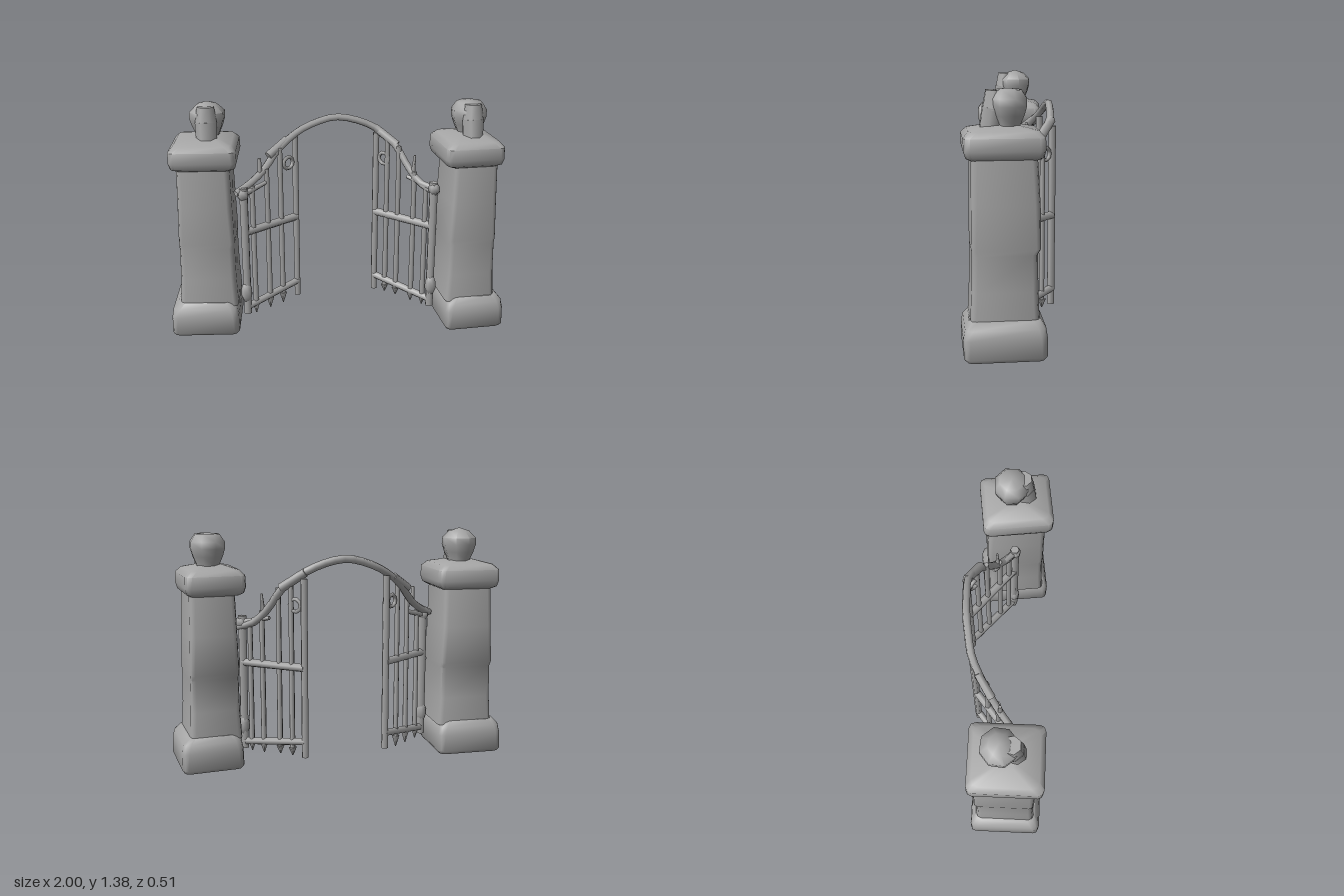
import * as THREE from 'three';
import { toCreasedNormals } from 'three/addons/utils/BufferGeometryUtils.js';

const stone = new THREE.MeshStandardMaterial({ color: 0xa6a6a6, side: THREE.DoubleSide });
stone.name = 'plain grey';

const V = (x, y, z) => new THREE.Vector3(x, y, z);

function add(group, geometry, name) {
  const mesh = new THREE.Mesh(geometry, stone);
  mesh.name = name;
  group.add(mesh);
  return mesh;
}

// Skin over stacked rounded rectangles: [y, x0, x1, z0, z1, cornerRadius]
function loft(sections) {
  const pos = [], index = [], n = 12;
  for (const [y, x0, x1, z0, z1, r] of sections) {
    for (let c = 0; c < 4; c++) {
      const cx = c === 0 || c === 3 ? x1 - r : x0 + r;
      const cz = c < 2 ? z1 - r : z0 + r;
      for (let k = 0; k < 3; k++) {
        const a = (c + k / 2) * Math.PI / 2;
        pos.push(cx + r * Math.cos(a), y, cz + r * Math.sin(a));
      }
    }
  }
  for (let s = 0; s < sections.length - 1; s++) {
    for (let i = 0; i < n; i++) {
      const a = s * n + i, b = s * n + (i + 1) % n;
      index.push(a, a + n, b, b, a + n, b + n);
    }
  }
  // Close both ends
  const last = (sections.length - 1) * n;
  for (let i = 1; i < n - 1; i++) {
    index.push(0, i, i + 1, last, last + i + 1, last + i);
  }
  const g = new THREE.BufferGeometry();
  g.setAttribute('position', new THREE.Float32BufferAttribute(pos, 3));
  g.setIndex(index);
  return toCreasedNormals(g, 0.9);
}

// Round bar between two points
function bar(group, a, b, r0, r1, name, sides = 6) {
  const d = b.clone().sub(a);
  const g = new THREE.CylinderGeometry(r1, r0, d.length(), sides);
  const mesh = add(group, g, name);
  mesh.position.copy(a).addScaledVector(d, 0.5);
  mesh.quaternion.setFromUnitVectors(V(0, 1, 0), d.normalize());
  return mesh;
}

// Pillar of half width w; the shaft and cap sit closer to the opening (side = -1 or 1) than the plinth
function pillar(name, side, w, capShift) {
  const g = new THREE.Group();
  g.name = name;
  // Plinth with a small hollow underneath
  add(g, loft([
    [0.07, -0.05, 0.05, -0.05, 0.05, 0.01],
    [0.03, -0.07, 0.07, -0.07, 0.07, 0.01],
    [0.01, -w + 0.012, w - 0.012, -0.2, 0.2, 0.03],
    [0.03, -w, w, -0.212, 0.215, 0.03],
    [0.13, -w + 0.002, w - 0.002, -0.212, 0.218, 0.035],
    [0.18, -w + 0.01, w - 0.01, -0.205, 0.208, 0.04],
    [0.215, -w + 0.04, w - 0.04, -0.18, 0.185, 0.04],
  ]), 'plinth');
  // Shaft, with the upper half of the back standing slightly proud
  const s = w - 0.04;
  const shaft = add(g, loft([
    [0.19, -s - 0.012, s + 0.012, -0.177, 0.18, 0.03],
    [0.36, -s - 0.003, s + 0.003, -0.17, 0.172, 0.03],
    [0.55, -s, s, -0.167, 0.168, 0.03],
    [0.58, -s - 0.002, s + 0.002, -0.182, 0.17, 0.025],
    [0.8, -s + 0.004, s - 0.004, -0.18, 0.17, 0.03],
    [1.05, -s + 0.01, s - 0.01, -0.165, 0.168, 0.03],
  ]), 'shaft');
  shaft.position.x = -side * 0.027;
  // Cap stone
  const c = w - 0.008;
  const cap = add(g, loft([
    [1.03, -c + 0.035, c - 0.035, -0.17, 0.17, 0.03],
    [1.045, -c + 0.01, c - 0.01, -0.195, 0.195, 0.03],
    [1.08, -c, c, -0.203, 0.205, 0.03],
    [1.145, -c + 0.002, c - 0.002, -0.203, 0.208, 0.035],
    [1.175, -c + 0.03, c - 0.03, -0.175, 0.18, 0.04],
    [1.2, -0.06, 0.06, -0.06, 0.06, 0.02],
  ]), 'capStone');
  cap.position.x = -side * capShift;
  return g;
}

// Lumpy ball with a broad spur running down its front
function finial(name, flat) {
  const g = new THREE.Group();
  g.name = name;
  const profile = [[0.066, 1.17], [0.07, 1.2], [0.09, 1.245], [0.104, 1.29], [0.104, 1.33],
    [flat ? 0.075 : 0.06, 1.372], [0, flat ? 1.38 : 1.39]];
  const ball = new THREE.LatheGeometry(profile.map(([r, y]) => new THREE.Vector2(r, y)), 8, 0.3);
  add(g, toCreasedNormals(ball, 1), 'ball');
  bar(g, V(0, 1.37, 0.065), V(0, 1.27, 0.07), 0.05, 0.065, 'spurTop', 7);
  bar(g, V(0, 1.28, 0.07), V(0, 1.165, 0.09), 0.065, 0.06, 'spurFoot', 7);
  return g;
}

// Gate leaf: hinge and latch are [x, z]; bars are [t, bottom, top], t running from hinge to latch
function gateLeaf(name, hinge, latch, bars, latchTop) {
  const g = new THREE.Group();
  g.name = name;
  const at = (t, y) => V(
    hinge[0] + (latch[0] - hinge[0]) * t, y, hinge[1] + (latch[1] - hinge[1]) * t);
  bar(g, at(0, 0.08), at(0, 0.89), 0.025, 0.027, 'hingePost');
  bar(g, at(1, 0.08), at(1, latchTop), 0.021, 0.021, 'latchPost');
  bar(g, at(0, 0.61), at(1, 0.615), 0.025, 0.025, 'middleRail');
  bar(g, at(0, 0.12), at(1, 0.175), 0.023, 0.023, 'bottomRail');
  bar(g, at(0, 0.85), at(0.45, 0.89), 0.02, 0.012, 'topBrace');
  for (const [t, bottom, top] of bars) {
    bar(g, at(t, 0.12), at(t, top), 0.017, 0.016, 'upright', 5);
    bar(g, at(t, bottom), at(t, 0.13), 0.003, 0.024, 'spearTip', 4);
  }
  // Ring below the arch
  const ring = add(g, new THREE.TorusGeometry(0.036, 0.012, 5, 10), 'ring');
  ring.position.copy(at(0.86, 0.975));
  ring.rotation.y = -Math.atan2(latch[1] - hinge[1], latch[0] - hinge[0]);
  // Hinge knuckles
  for (const [y, s] of [[0.22, 0.07], [0.85, 0.04]]) {
    const knuckle = add(g, new THREE.SphereGeometry(1, 7, 5), 'hingeKnuckle');
    knuckle.position.copy(at(-0.01, y));
    knuckle.scale.set(0.036, s, 0.036);
  }
  return g;
}

export function createModel() {
  const model = new THREE.Group();
  model.name = 'gateway';

  // Pillars; the left one is turned a little
  const right = pillar('rightPillar', -1, 0.2, 0.03);
  right.position.set(-0.8, 0, 0.035);
  const rightBall = finial('rightFinial', false);
  rightBall.position.set(0.05, 0, -0.035);
  right.add(rightBall);
  const left = pillar('leftPillar', 1, 0.181, 0.043);
  left.position.set(0.8, 0, 0.022);
  left.rotation.y = 0.13;
  const leftBall = finial('leftFinial', true);
  leftBall.position.set(-0.03, 0, -0.025);
  left.add(leftBall);
  model.add(right, left);

  // Arch over the opening
  const path = new THREE.CatmullRomCurve3([
    V(-0.6, 0.86, 0.1), V(-0.52, 0.9, 0.04), V(-0.44, 0.96, -0.03), V(-0.35, 1.07, -0.1),
    V(-0.22, 1.165, -0.175), V(-0.1, 1.215, -0.2), V(0, 1.235, -0.215), V(0.12, 1.215, -0.222),
    V(0.25, 1.16, -0.22), V(0.36, 1.07, -0.16), V(0.44, 0.94, -0.09), V(0.51, 0.86, -0.03),
    V(0.6, 0.82, 0.04),
  ]);
  add(model, new THREE.TubeGeometry(path, 28, 0.023, 6), 'arch');

  // Thickened joints and stubs on the arch
  bar(model, V(-0.41, 1.04, -0.06), V(-0.3, 1.12, -0.14), 0.028, 0.024, 'rightArchJoint');
  bar(model, V(0.24, 1.165, -0.23), V(0.37, 1.07, -0.16), 0.025, 0.028, 'leftArchJoint');
  bar(model, V(-0.46, 0.93, -0.01), V(-0.46, 1.04, -0.01), 0.016, 0.01, 'rightStub', 5);
  bar(model, V(0.46, 0.9, -0.07), V(0.47, 1.03, -0.07), 0.016, 0.007, 'leftStub', 5);

  // Gate leaves
  model.add(gateLeaf('rightGate', [-0.555, 0.085], [-0.25, -0.165],
    [[0.16, 0.06, 0.89], [0.44, 0.06, 0.97], [0.7, 0.06, 1.08]], 1.13));
  model.add(gateLeaf('leftGate', [0.575, 0.03], [0.25, -0.235],
    [[0.13, 0.07, 0.84], [0.33, 0.07, 0.93], [0.6, 0.08, 1.07], [0.8, 0.08, 1.1]], 1.13));
  return model;
}
